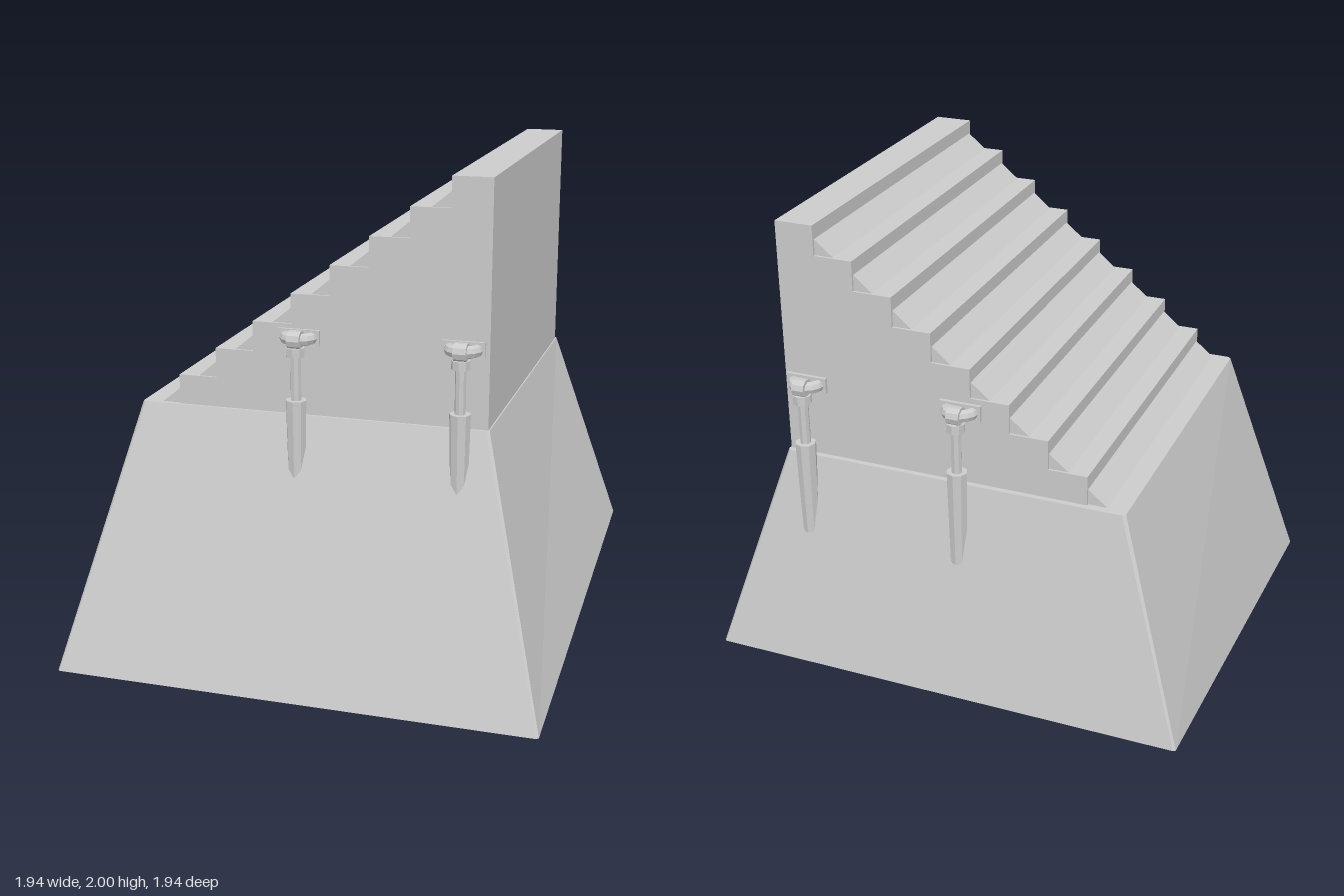
import * as THREE from 'three';

const mat = new THREE.MeshStandardMaterial({ color: 0xcccccc, flatShading: true });

function add(parent, name, geo, x = 0, y = 0, z = 0) {
  const mesh = new THREE.Mesh(geo, mat);
  mesh.name = name;
  mesh.position.set(x, y, z);
  parent.add(mesh);
  return mesh;
}

// Rectangle with slightly chamfered corners, counterclockwise from above
function ring(x, front, back, c, height) {
  return [
    [x - c, front], [x, front - c], [x, back + c], [x - c, back],
    [c - x, back], [-x, back + c], [-x, front - c], [c - x, front],
  ].map(([px, pz]) => [px, height(pz), pz]);
}

// Tapered plinth with an underside sloping up towards the back
function plinthGeometry() {
  const b = ring(0.97, 0.97, -0.97, 0.008, z => 0.19 * (0.97 - z) / 1.94);
  const t = ring(0.695, 0.662, -0.81, 0.012, () => 1.06);
  const pos = [];
  const tri = (...points) => points.forEach(p => pos.push(...p));
  for (let i = 0; i < 8; i++) {
    const j = (i + 1) % 8;
    tri(b[i], b[j], t[j]);
    tri(b[i], t[j], t[i]);
    if (i > 0 && i < 7) {
      tri(t[0], t[i], t[j]);
      tri(b[0], b[j], b[i]);
    }
  }
  const geo = new THREE.BufferGeometry();
  geo.setAttribute('position', new THREE.Float32BufferAttribute(pos, 3));
  geo.computeVertexNormals();
  return geo;
}

function prism(points, depth) {
  const shape = new THREE.Shape(points.map(p => new THREE.Vector2(...p)));
  return new THREE.ExtrudeGeometry(shape, { depth, bevelEnabled: false });
}

// Clamp hanging off a side wall, outward along +z, origin on the wall
function makeClamp(bottom) {
  const clamp = new THREE.Group();
  clamp.name = 'clamp';

  // Half-ring handle fixed to the wall
  add(clamp, 'wallPlate', new THREE.BoxGeometry(0.165, 0.062, 0.014), 0, 1.365, 0.004);
  const handle = add(clamp, 'handle', new THREE.TorusGeometry(0.052, 0.024, 8, 8, Math.PI), 0, 1.365, 0);
  handle.rotation.x = Math.PI / 2;
  const sleeve = add(clamp, 'handleSleeve', new THREE.CylinderGeometry(0.036, 0.036, 0.05, 10), 0, 1.365, 0.049);
  sleeve.rotation.z = Math.PI / 2;

  // Collar, piston rod and socket body sunk into the plinth
  add(clamp, 'collar', new THREE.CylinderGeometry(0.036, 0.036, 0.035, 8), 0, 1.318, 0.048);
  add(clamp, 'rod', new THREE.CylinderGeometry(0.021, 0.021, 0.22, 8), 0, 1.21, 0.046);
  const h = 1.13 - bottom;
  add(clamp, 'socket', new THREE.CylinderGeometry(0.041, 0.033, h, 8), 0, bottom + h / 2, 0.046);
  return clamp;
}

export function createModel() {
  const model = new THREE.Group();
  model.name = 'steppedBlock';
  add(model, 'plinth', plinthGeometry());

  // Staircase block rising towards +x
  const front = 0.65, back = -0.787;
  const steps = 8, run = 0.1538, rise = 0.1175, startX = -0.54, startY = 1.06;
  const profile = [[startX, startY - 0.02], [0.69, startY - 0.02], [0.69, 2]];
  for (let i = steps - 1; i >= 0; i--) {
    const x = startX + i * run;
    profile.push([x, startY + (i + 1) * rise]);
    if (i > 0) profile.push([x, startY + i * rise]);
  }
  add(model, 'stairs', prism(profile, front - back), 0, 0, back);

  // Sloped wedge at the foot of each riser
  const wedge = prism([[-0.075, 0], [0, 0], [0, 0.062]], front - back - 0.02);
  for (let i = 0; i < steps; i++) {
    add(model, 'wedge', wedge, startX + i * run, startY + i * rise, back + 0.01);
  }

  // Two clamps on the front and two on the back
  for (const x of [-0.045, 0.592]) {
    const f = makeClamp(0.76);
    f.position.set(x, 0, front);
    const b = makeClamp(0.74);
    b.position.set(x, 0, back - 0.01);
    b.rotation.y = Math.PI;
    model.add(f, b);
  }
  return model;
}
